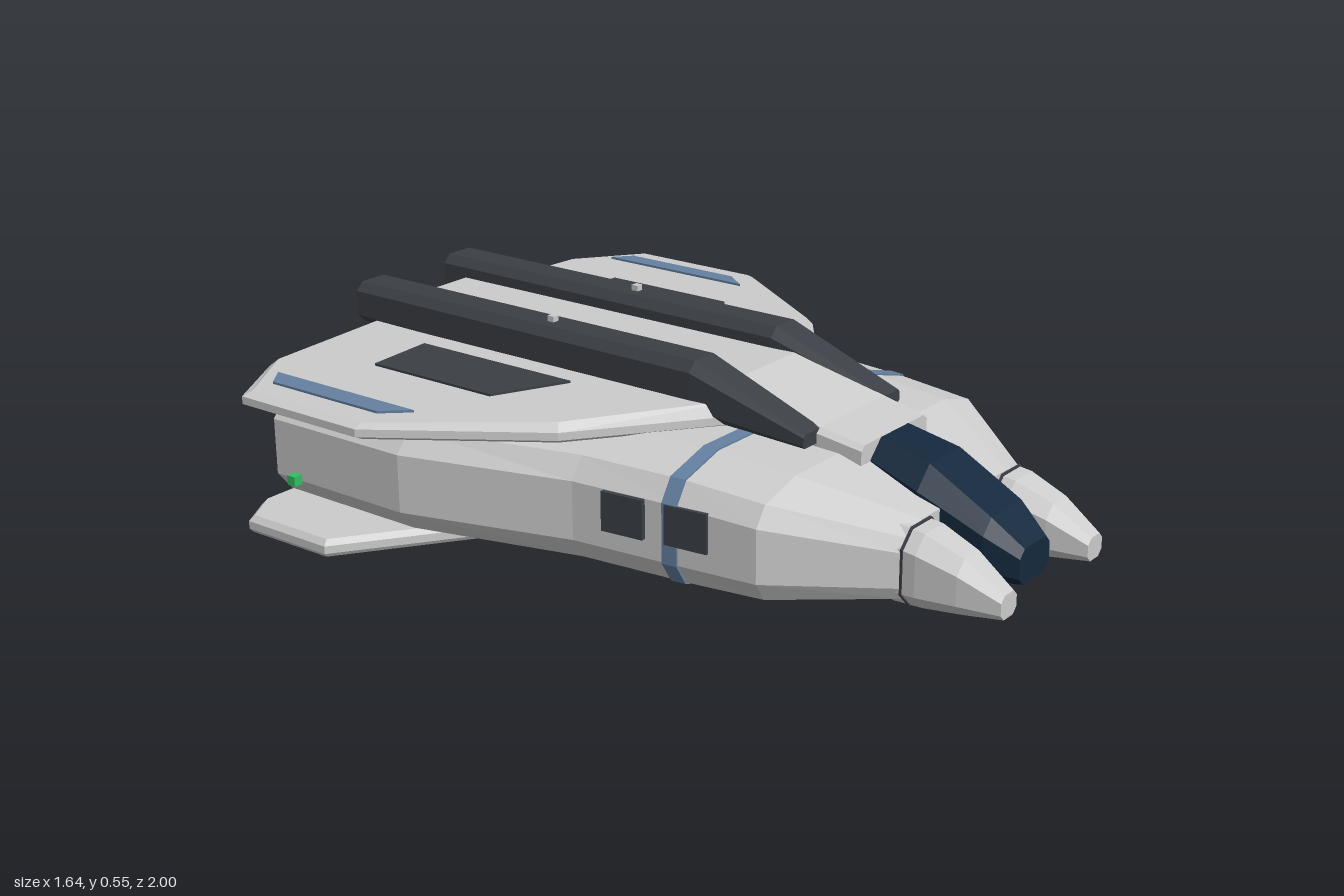
import * as THREE from 'three';

const mat = (color) => new THREE.MeshStandardMaterial({ color, flatShading: true });
const GREY = mat(0xcccccc), DARK = mat(0x3b3f45), BELLY = mat(0x2a2d31), GLASS = mat(0x14283c);
const BLUE = mat(0x6480a0), GLOW = mat(0x6c9fc8), RED = mat(0xd02020), GREEN = mat(0x30c060);

// Closed skin through rings of equal point count, capped at both ends; turned outward by volume sign
function loft(rings) {
  const tris = [], n = rings[0].length, last = rings[rings.length - 1];
  for (let r = 0; r < rings.length - 1; r++) {
    for (let i = 0; i < n; i++) {
      const j = (i + 1) % n, a = rings[r], b = rings[r + 1];
      tris.push([a[i], a[j], b[j]], [a[i], b[j], b[i]]);
    }
  }
  for (let i = 1; i < n - 1; i++) {
    tris.push([rings[0][0], rings[0][i + 1], rings[0][i]], [last[0], last[i], last[i + 1]]);
  }
  const o = new THREE.Vector3(...rings[0][0]);
  let volume = 0;
  for (const t of tris) {
    const [a, b, c] = t.map((p) => new THREE.Vector3(...p).sub(o));
    volume += a.dot(b.cross(c));
  }
  if (volume < 0) tris.forEach((t) => t.reverse());
  const g = new THREE.BufferGeometry();
  g.setAttribute('position', new THREE.Float32BufferAttribute(tris.flat(2), 3));
  g.computeVertexNormals();
  return g;
}

// Chamfered rectangle across z
function oct(cx, w, y0, y1, z, c = 0.3) {
  const h = (y1 - y0) / 2, k = c * Math.min(w, h);
  return [[w, y0 + k], [w, y1 - k], [w - k, y1], [k - w, y1], [-w, y1 - k], [-w, y0 + k], [k - w, y0], [w - k, y0]]
    .map(([x, y]) => [cx + x, y, z]);
}

// Horizontal plate: layers of [height or height rule, scale about (cx, cz)]
function plate(poly, layers, cx, cz, s = 1) {
  return loft(layers.map(([y, k]) => poly.map(([x, z]) => {
    const px = cx + (x - cx) * k;
    return [s * px, typeof y === 'function' ? y(px) : y, cz + (z - cz) * k];
  })));
}

// Hull stations: z, half width, bottom, top
const STATIONS = [
  [-0.89, 0.65, 0.06, 0.39], [-0.45, 0.655, 0.06, 0.395], [0, 0.53, 0.06, 0.395],
  [0.28, 0.5, 0.06, 0.39], [0.5, 0.48, 0.07, 0.372], [0.76, 0.285, 0.09, 0.285],
];
function hullRing(z, grow = 0) {
  let i = 0;
  while (i < STATIONS.length - 2 && z > STATIONS[i + 1][0]) i++;
  const a = STATIONS[i], b = STATIONS[i + 1], t = (z - a[0]) / (b[0] - a[0]);
  const [w, y0, y1] = [1, 2, 3].map((k) => a[k] + (b[k] - a[k]) * t);
  const W = w + grow, h = (y1 - y0) / 2 + grow, m = (y0 + y1) / 2;
  const q = [[1, 0.45], [0.93, 0.78], [0.68, 1]];
  const ring = [...q, ...q.slice().reverse().map(([x, y]) => [-x, y]),
    ...q.map(([x, y]) => [-x, -y]), ...q.slice().reverse().map(([x, y]) => [x, -y])];
  return ring.map(([x, y]) => [x * W, m + y * h, z]);
}

export function createModel() {
  const model = new THREE.Group();
  const add = (name, geo, material, x = 0, y = 0, z = 0) => {
    const mesh = new THREE.Mesh(geo, material);
    mesh.name = name;
    mesh.position.set(x, y, z);
    model.add(mesh);
    return mesh;
  };
  const box = (...d) => new THREE.BoxGeometry(...d);

  // Main body
  add('hull', loft(STATIONS.map((s) => hullRing(s[0]))), GREY);
  add('hullStripe', loft([hullRing(0.25, 0.004), hullRing(0.29, 0.004)]), BLUE);
  add('rearBulkhead', loft([hullRing(-0.89, -0.012), hullRing(-0.89, -0.012).map(([x, y]) => [x, y, -0.905])]), DARK);

  // Cockpit glass between the nose prongs
  const canopy = [[0.56, 0.105, 0.2, 0.4], [0.7, 0.122, 0.13, 0.368], [0.87, 0.105, 0.115, 0.275], [0.95, 0.07, 0.12, 0.21]];
  add('canopy', loft(canopy.map(([z, w, a, b]) => oct(0, w, a, b, z, 0.45))), GLASS);

  // Raised ridge between the two rails
  const ridge = [[0.56, 0.145, 0.4], [0.44, 0.155, 0.422], [0.19, 0.13, 0.49], [-0.92, 0.13, 0.49]];
  add('dorsalRidge', loft(ridge.map(([z, w, y]) => [[-w, 0.34, z], [w, 0.34, z], [w, y - 0.012, z], [w - 0.015, y, z], [0.015 - w, y, z], [-w, y - 0.012, z]])), GREY);

  // Belly plate
  const belly = [[0.12, 0.55], [0.23, 0.38], [0.23, -0.62], [0.12, -0.78], [-0.12, -0.78], [-0.23, -0.62], [-0.23, 0.38], [-0.12, 0.55]];
  add('bellyPlate', plate(belly, [[0.08, 1], [0.04, 1], [0.022, 0.9]], 0, -0.11), BELLY);

  const wing = [[0.08, -0.95], [0.6, -0.95], [0.8, -0.83], [0.8, -0.44], [0.53, -0.04], [0.15, 0.25], [0.08, 0.25]];
  const wingTop = (x) => 0.455 - 0.03 * x / 0.8;
  const fin = [[0.4, -0.9], [0.7, -0.9], [0.8, -0.84], [0.8, -0.57], [0.42, -0.3]];
  const vent = [[0.3, -0.69], [0.48, -0.69], [0.48, -0.3], [0.3, -0.195]];
  const tipPanel = [[0.66, -0.85], [0.715, -0.81], [0.715, -0.45], [0.66, -0.38]];

  for (const s of [1, -1]) {
    const side = s > 0 ? 'left' : 'right';
    const put = (name, ...rest) => add(side + name, ...rest);

    // Upper wing with bevelled rim and inset panels
    put('UpperWing', plate(wing, [[0.384, 0.97], [0.395, 1], [0.415, 1], [wingTop, 0.97]], 0, -0.4, s), GREY);
    put('WingVent', plate(vent, [[0.42, 1], [(x) => wingTop(x) + 0.006, 1]], 0.39, -0.45, s), DARK);
    put('WingTipPanel', plate(tipPanel, [[0.41, 1], [(x) => wingTop(x) + 0.006, 1]], 0.69, -0.6, s), BLUE);

    // Lower fin
    put('LowerFin', plate(fin, [[0.05, 0.97], [0.06, 1], [0.08, 1], [0.095, 0.95]], 0.55, -0.65, s), GREY);

    // Dorsal rail with sloped front
    const rail = [[0.44, 0.04, 0.385, 0.42], [0.12, 0.062, 0.4, 0.54], [-1, 0.062, 0.43, 0.54]];
    put('Rail', loft(rail.map(([z, w, a, b]) => oct(s * 0.17, w, a, b, z, 0.4))), DARK);

    // Nose prong with dark seam at its root
    const prong = [[0.72, 0.08, 0.09, 0.285], [0.8, 0.08, 0.092, 0.275], [0.9, 0.064, 0.1, 0.237], [1, 0.035, 0.11, 0.17]];
    put('NoseProng', loft(prong.map(([z, w, a, b]) => oct(s * 0.205, w, a, b, z, 0.5))), GREY);
    put('ProngSeam', loft([0.762, 0.768].map((z) => oct(s * 0.205, 0.083, 0.088, 0.284, z, 0.5))), DARK);

    // Side windows
    for (const [x, z] of [[0.49, 0.315], [0.512, 0.145]]) {
      put('SideWindow', box(0.03, 0.1, 0.115), DARK, s * x, 0.25, z).rotation.y = s * -0.1;
    }

    // Engine: collar, nozzle and glowing exhaust
    const x = s * 0.375;
    put('EngineCollar', loft([-0.89, -0.94].map((z) => oct(x, 0.165, 0.13, 0.33, z, 0.5))), GREY);
    put('EngineNozzle', loft([[-0.93, 0.137, 0], [-0.985, 0.137, 0], [-1, 0.12, 0.014]].map(([z, w, d]) => oct(x, w, 0.155 + d, 0.305 - d, z, 0.5))), DARK);
    put('EngineGlow', loft([-0.98, -1.002].map((z) => oct(x, 0.095, 0.18, 0.28, z, 0.4))), GLOW);

    // Rear brackets
    put('UpperBracket', box(0.03, 0.04, 0.04), GREY, s * 0.085, 0.42, -0.93);
    put('LowerBracket', box(0.04, 0.03, 0.06), GREY, x, 0.075, -0.87);

    // Small beacons
    put('RailBeacon', box(0.02, 0.02, 0.02), GREY, s * 0.17, 0.545, -0.36);
    put('BellyBeacon', box(0.02, 0.02, 0.02), GREY, s * 0.21, 0.012, -0.13);
    put('SideBeacon', box(0.025, 0.025, 0.025), s > 0 ? RED : GREEN, s * 0.808, 0.24, -0.65);
  }
  return model;
}
